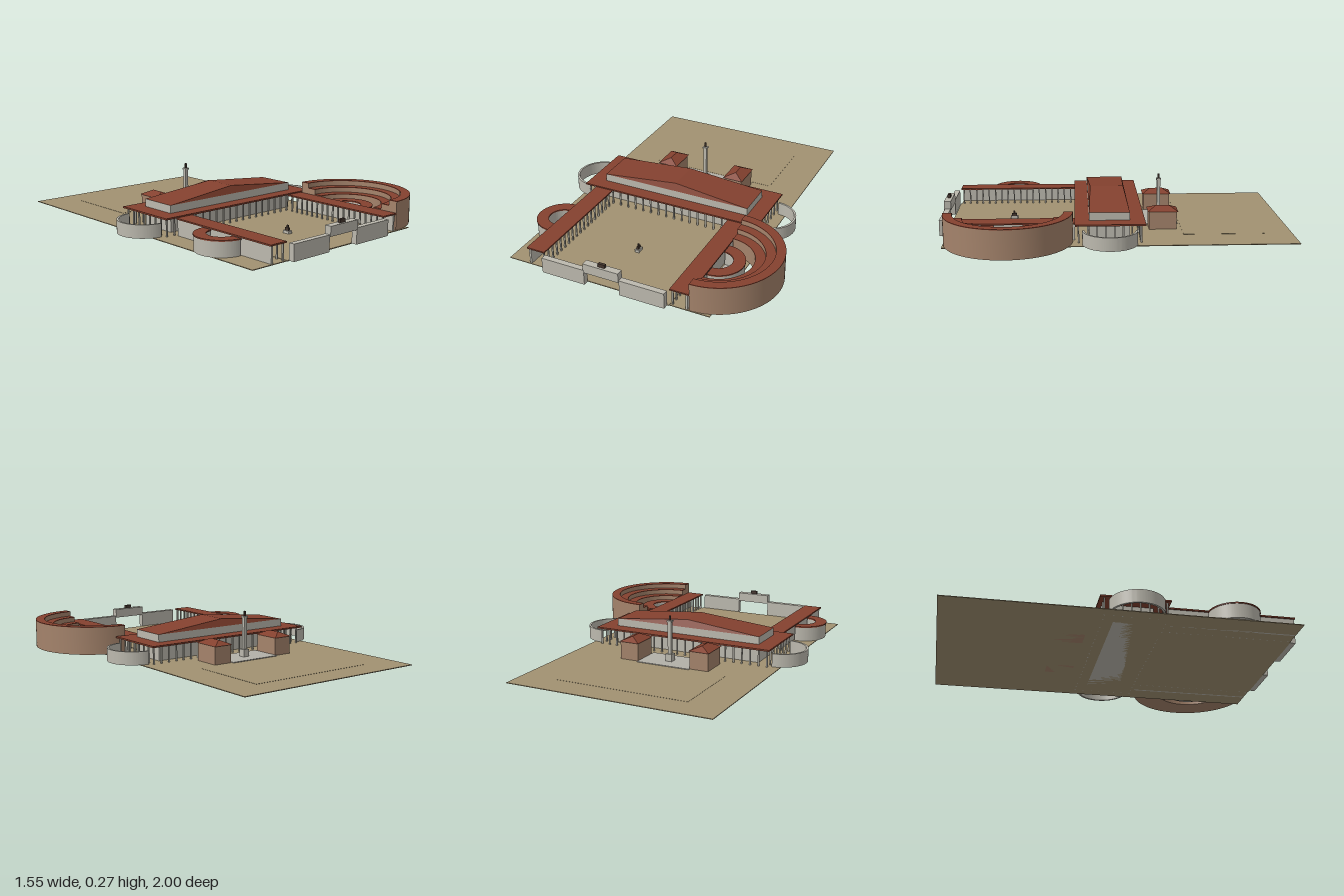
import * as THREE from 'three';
import { toCreasedNormals } from 'three/addons/utils/BufferGeometryUtils.js';

const mat = (color) => new THREE.MeshStandardMaterial({ color });
const EARTH = mat(0xa19171), ROOF = mat(0x84412f), STONE = mat(0xbcb9ae);
const TAN = mat(0xa4836b), DARK = mat(0x45372f), PAVING = mat(0xb3b0a8);
const CX = -0.065; // axis of symmetry of the buildings

export function createModel() {
  const root = new THREE.Group();

  const add = (name, geo, material, parent = root) => {
    const m = new THREE.Mesh(geo, material);
    m.name = name;
    parent.add(m);
    return m;
  };
  // Box given by its limits on each axis
  const box = (name, x0, x1, y0, y1, z0, z1, material, parent) => {
    const geo = new THREE.BoxGeometry(x1 - x0, y1 - y0, z1 - z0);
    geo.translate((x0 + x1) / 2, (y0 + y1) / 2, (z0 + z1) / 2);
    return add(name, geo, material, parent);
  };
  // Half ring opening towards -x (dir 1) or +x (dir -1)
  const halfRing = (name, x, z, r0, r1, y0, y1, dir, material, parent) => {
    const s = new THREE.Shape();
    s.absarc(0, 0, r1, -Math.PI / 2, Math.PI / 2, false);
    if (r0 > 0) s.absarc(0, 0, r0, Math.PI / 2, -Math.PI / 2, true);
    s.closePath();
    let geo = new THREE.ExtrudeGeometry(s, { depth: y1 - y0, bevelEnabled: false, curveSegments: 40 });
    geo.rotateX(-Math.PI / 2);
    if (dir < 0) geo.rotateY(Math.PI);
    geo.translate(x, y0, z);
    geo = toCreasedNormals(geo, 0.5);
    return add(name, geo, material, parent);
  };
  // Hip roof whose ridge runs along z at the middle of x
  const hipRoof = (name, x0, x1, z0, z1, y0, y1, inset, parent) => {
    const c = (x0 + x1) / 2;
    const A = [x0, y0, z0], B = [x1, y0, z0], C = [x1, y0, z1], D = [x0, y0, z1];
    const R = [c, y1, z0 + inset], S = [c, y1, z1 - inset];
    const tris = [D, C, S, B, A, R, C, B, R, C, R, S, A, D, S, A, S, R, A, B, C, A, C, D];
    const geo = new THREE.BufferGeometry();
    geo.setAttribute('position', new THREE.Float32BufferAttribute(tris.flat(), 3));
    geo.computeVertexNormals();
    return add(name, geo, ROOF, parent);
  };
  // Row of slim square columns between two points on the ground
  const columns = (name, xa, za, xb, zb, n, h, parent) => {
    const row = new THREE.Group();
    row.name = name;
    for (let i = 0; i < n; i++) {
      const t = i / (n - 1), x = xa + (xb - xa) * t, z = za + (zb - za) * t;
      box('column', x - 0.004, x + 0.004, 0, h, z - 0.004, z + 0.004, STONE, row);
    }
    parent.add(row);
  };
  const group = (name) => {
    const g = new THREE.Group();
    g.name = name;
    root.add(g);
    return g;
  };

  // Site
  box('ground', -0.67, 0.535, 0, 0.004, -1, 0.955, EARTH);
  box('courtyard', -0.44, 0.31, 0.001, 0.006, 0.235, 0.96, EARTH);
  box('rearGarden', -0.46, 0.325, 0.001, 0.005, -0.84, -0.38, EARTH);
  box('rearTerrace', -0.23, 0.095, 0.001, 0.008, -0.37, -0.17, PAVING);

  // Main hall with its canopy, clerestory and roof
  const hall = group('mainHall');
  box('hallWalls', -0.525, 0.395, 0, 0.102, -0.07, 0.155, STONE, hall);
  box('canopy', -0.62, 0.49, 0.102, 0.111, -0.155, 0.235, ROOF, hall);
  box('clerestory', -0.525, 0.395, 0.111, 0.155, -0.07, 0.155, STONE, hall);
  hipRoof('hallRoof', -0.525, 0.395, -0.07, 0.155, 0.155, 0.2, 0.014, hall);
  columns('frontColumns', -0.6, 0.215, 0.47, 0.215, 22, 0.102, hall);
  columns('rearColumns', -0.6, -0.13, 0.47, -0.13, 22, 0.102, hall);
  for (const x of [-0.6, 0.47]) columns('sideColumns', x, -0.08, x, 0.165, 6, 0.102, hall);
  halfRing('leftGardenWall', 0.49, 0.043, 0.14, 0.152, 0.004, 0.08, 1, STONE, hall);
  halfRing('rightGardenWall', -0.62, 0.043, 0.14, 0.152, 0.004, 0.08, -1, STONE, hall);

  // Side wings: closed outside, colonnade towards the courtyard
  for (const s of [-1, 1]) {
    const wing = group(s > 0 ? 'leftWing' : 'rightWing');
    const inner = CX + s * 0.375, outer = CX + s * 0.485;
    const lo = Math.min(inner, outer), hi = Math.max(inner, outer);
    box('wingRoof', lo, hi, 0.096, 0.104, 0.235, 0.955, ROOF, wing);
    const w = outer - s * 0.015;
    box('wingWall', w - 0.006, w + 0.006, 0, 0.096, 0.235, 0.95, STONE, wing);
    columns('wingColumns', inner + s * 0.012, 0.26, inner + s * 0.012, 0.94, 18, 0.096, wing);
    // Apse with a ring roof around an open paved centre
    halfRing('apseWalls', outer, 0.6, 0.085, 0.143, 0.004, 0.088, s, STONE, wing);
    halfRing('apseRoof', outer, 0.6, 0.08, 0.147, 0.088, 0.095, s, ROOF, wing);
    halfRing('apseFloor', outer, 0.6, 0, 0.085, 0.004, 0.01, s, PAVING, wing);
  }

  // Stepped amphitheatre around the left apse
  const theatre = group('amphitheatre');
  [[0.195, 0.25, 0.11], [0.25, 0.303, 0.14], [0.303, 0.355, 0.17]].forEach(([r0, r1, h]) => {
    halfRing('tierWall', 0.42, 0.6, r0, r1, 0.006, h - 0.004, 1, TAN, theatre);
    halfRing('tierTop', 0.42, 0.6, r0, r1, h - 0.004, h, 1, ROOF, theatre);
  });

  // Front wall and gate
  const gate = group('frontGate');
  box('rightFrontWall', -0.43, -0.17, 0.004, 0.095, 0.962, 0.995, STONE, gate);
  box('leftFrontWall', 0.04, 0.3, 0.004, 0.095, 0.962, 0.995, STONE, gate);
  box('gateBeam', -0.17, 0.04, 0.085, 0.14, 0.96, 1, STONE, gate);
  box('gateOrnament', CX - 0.02, CX + 0.02, 0.14, 0.16, 0.972, 0.988, DARK, gate);

  // Courtyard statue
  const statue = group('courtyardStatue');
  box('pedestal', CX - 0.013, CX + 0.013, 0.004, 0.022, 0.575, 0.617, STONE, statue);
  box('figureBody', CX - 0.006, CX + 0.006, 0.022, 0.038, 0.582, 0.61, DARK, statue);
  box('figureHead', CX - 0.004, CX + 0.004, 0.038, 0.052, 0.592, 0.602, DARK, statue);

  // Rear pavilions
  for (const s of [-1, 1]) {
    const pav = group(s > 0 ? 'leftPavilion' : 'rightPavilion');
    const c = CX + s * 0.22;
    box('pavilionWalls', c - 0.056, c + 0.056, 0, 0.108, -0.352, -0.192, TAN, pav);
    hipRoof('pavilionRoof', c - 0.062, c + 0.062, -0.36, -0.185, 0.108, 0.134, 0.05, pav);
  }

  // Monument column between the pavilions
  const monument = group('monumentColumn');
  const square = (name, r, y0, y1, m) =>
    box(name, CX - r, CX + r, y0, y1, -0.27 - r, -0.27 + r, m, monument);
  square('columnBase', 0.02, 0.004, 0.05, STONE);
  square('columnShaft', 0.01, 0.05, 0.235, STONE);
  square('columnCapital', 0.014, 0.235, 0.244, STONE);
  square('columnFigure', 0.005, 0.244, 0.272, DARK);

  return root;
}
